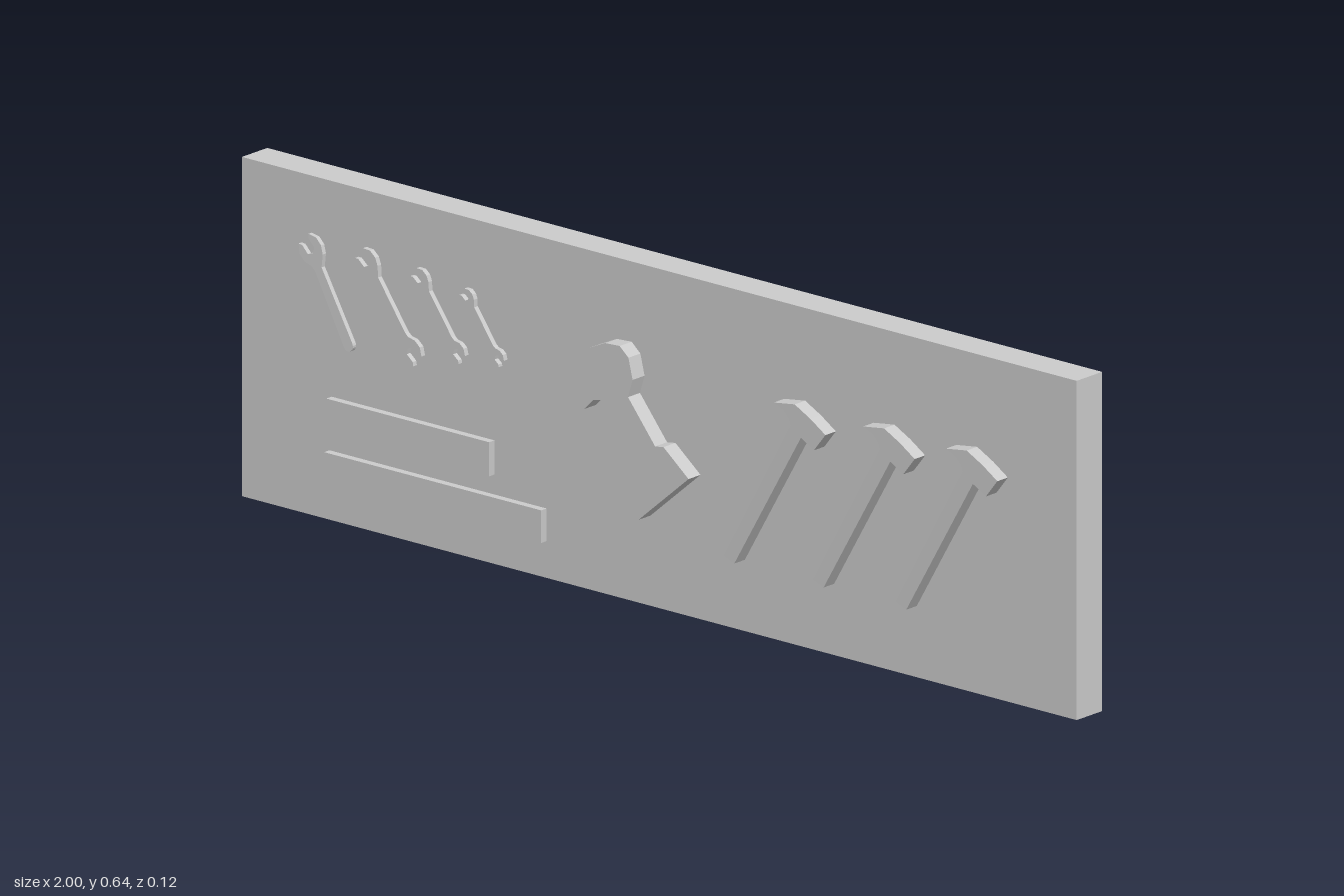
import * as THREE from 'three';

const material = new THREE.MeshStandardMaterial({ color: 0xcccccc, flatShading: true });

function addBox(parent, name, x0, x1, y0, y1, z0, z1) {
  const mesh = new THREE.Mesh(new THREE.BoxGeometry(x1 - x0, y1 - y0, z1 - z0), material);
  mesh.position.set((x0 + x1) / 2, (y0 + y1) / 2, (z0 + z1) / 2);
  mesh.name = name;
  parent.add(mesh);
}

// Flat outline extruded from z0 to z1; lean slides z in proportion to height above y = base
function addPlate(parent, name, points, z0, z1, lean = 0, base = 0) {
  const shape = new THREE.Shape(points.map(([x, y]) => new THREE.Vector2(x, y)));
  const geometry = new THREE.ExtrudeGeometry(shape, { depth: z1 - z0, bevelEnabled: false });
  const p = geometry.attributes.position;
  for (let i = 0; i < p.count; i++) p.setZ(i, p.getZ(i) + z0 + (p.getY(i) - base) * lean);
  geometry.computeVertexNormals();
  const mesh = new THREE.Mesh(geometry, material);
  mesh.name = name;
  parent.add(mesh);
}

// Open jaw pointing along +y, listed counterclockwise, with its mouth turned a little
function jaw(r, w) {
  const head = [[0.7, -0.75], [1, -0.2], [1, 0.45], [0.6, 1], [0.4, 0.75], [0.4, 0], [0, -0.2],
    [-0.4, 0], [-0.4, 0.75], [-0.6, 1], [-1, 0.45], [-1, -0.2], [-0.7, -0.75]];
  const c = Math.cos(0.25), s = Math.sin(0.25);
  const turned = head.map(([x, y]) => [r * (x * c - y * s), r * (x * s + y * c)]);
  return [[w, -1.3 * r], ...turned, [-w, -1.3 * r]];
}

// Outline of a spanner between two end centres
function spanner(top, bottom, r, w, doubleEnded) {
  const dx = top[0] - bottom[0], dy = top[1] - bottom[1];
  const length = Math.hypot(dx, dy), ux = dx / length, uy = dy / length;
  let end = jaw(r, w).map(([x, y]) => [-x, -length - y]);
  if (!doubleEnded) {
    end = [];
    for (let i = 0; i <= 8; i++) {
      const a = Math.PI * (1 + i / 8);
      end.push([1.25 * w * Math.cos(a), -length + 1.25 * w * (1 + Math.sin(a))]);
    }
  }
  return [...jaw(r, w), ...end].map(([x, y]) => [top[0] + x * uy + y * ux, top[1] - x * ux + y * uy]);
}

export function createModel() {
  const group = new THREE.Group();
  group.name = 'toolBoard';

  // Backing board and two strips
  addBox(group, 'board', -1, 1, 0, 0.645, -0.058, 0.012);
  addBox(group, 'upperStrip', -0.785, -0.395, 0.17, 0.235, 0.012, 0.027);
  addBox(group, 'lowerStrip', -0.79, -0.27, 0.07, 0.132, 0.012, 0.027);

  // Spanners, the first single-ended and leaning off the board
  addPlate(group, 'singleSpanner', spanner([-0.825, 0.506], [-0.725, 0.338], 0.027, 0.009, false),
    0.02, 0.029, -0.04, 0.34);
  const spanners = [
    [[-0.692, 0.51], [-0.59, 0.366], 0.025, 0.01],
    [[-0.565, 0.505], [-0.48, 0.388], 0.02, 0.008],
    [[-0.452, 0.495], [-0.382, 0.398], 0.016, 0.006],
  ];
  for (const [top, bottom, r, w] of spanners) {
    addPlate(group, 'doubleSpanner', spanner(top, bottom, r, w, true), 0.012, 0.022);
  }

  // Power drill
  addPlate(group, 'drill', [
    [-0.195, 0.385], [-0.17, 0.363], [-0.14, 0.36], [-0.118, 0.382], [-0.098, 0.386], [0.003, 0.275],
    [-0.022, 0.2], [-0.01, 0.177], [0.11, 0.28], [0.05, 0.328], [0.03, 0.325], [-0.035, 0.405],
    [-0.024, 0.44], [-0.034, 0.48], [-0.055, 0.498], [-0.09, 0.496], [-0.13, 0.478], [-0.168, 0.445],
    [-0.19, 0.415],
  ], 0.025, 0.058);

  // Three matching hammers
  for (const offset of [0, 0.214, 0.412]) {
    const hammer = new THREE.Group();
    hammer.name = 'hammer';
    hammer.position.x = offset;
    addPlate(hammer, 'hammerHandle', [[0.185, 0.148], [0.21, 0.138], [0.375, 0.415], [0.35, 0.432]],
      0.018, 0.047, 0.018, 0.14);
    addPlate(hammer, 'hammerHead', [
      [0.312, 0.468], [0.335, 0.458], [0.347, 0.445], [0.353, 0.428], [0.375, 0.415],
      [0.407, 0.397], [0.435, 0.432], [0.4, 0.455], [0.362, 0.475],
    ], 0.021, 0.05, 0.016, 0.14);
    group.add(hammer);
  }
  return group;
}
